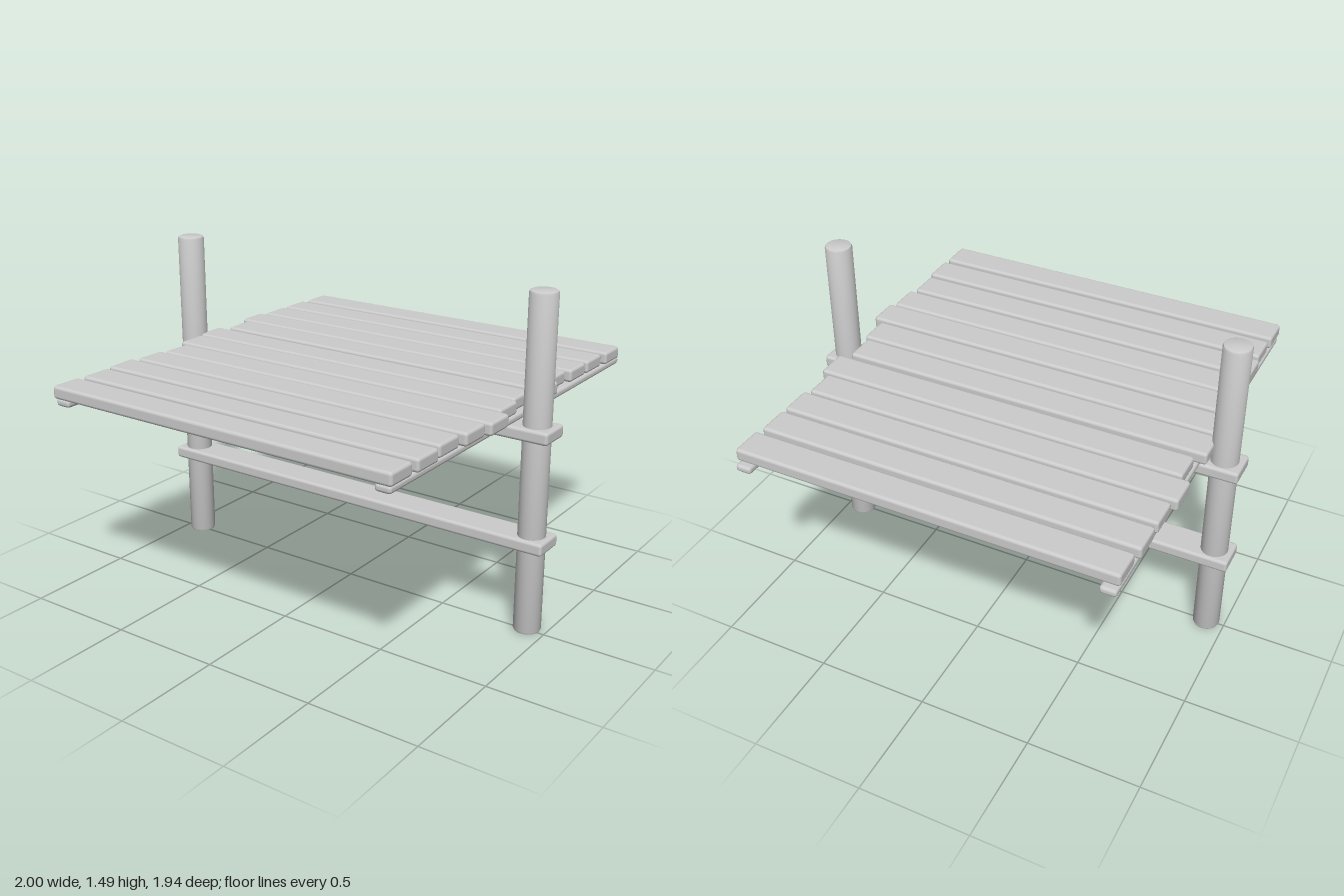
import * as THREE from 'three';
import { RoundedBoxGeometry } from 'three/addons/geometries/RoundedBoxGeometry.js';
import { toCreasedNormals } from 'three/addons/utils/BufferGeometryUtils.js';

const AXIS_Z = -0.005; // depth of the post and beam plane

export function createModel() {
  const model = new THREE.Group();
  const material = new THREE.MeshStandardMaterial({ color: 0xcccccc });

  const add = (name, geometry, x, y, z) => {
    const mesh = new THREE.Mesh(geometry, material);
    mesh.name = name;
    mesh.position.set(x, y, z);
    model.add(mesh);
  };

  // Round posts with bevelled ends
  const height = 1.49, radius = 0.06, bevel = 0.012;
  const profile = [
    [0, 0], [radius - bevel, 0], [radius - bevel * 0.3, bevel * 0.3], [radius, bevel],
    [radius, height - bevel], [radius - bevel * 0.3, height - bevel * 0.3],
    [radius - bevel, height], [0, height],
  ].map(([r, y]) => new THREE.Vector2(r, y));
  const post = toCreasedNormals(new THREE.LatheGeometry(profile, 32), 0.6);

  // Slim rails carrying the planks
  const rail = new RoundedBoxGeometry(0.072, 0.034, 1.925, 2, 0.014);

  for (const [side, s] of [['left', 1], ['right', -1]]) {
    add(side + 'Post', post, s * 0.917, 0, AXIS_Z);
    add(side + 'Rail', rail, s * 0.804, 0.951, -0.006);
  }

  // Cross beams joining the posts
  const beam = new RoundedBoxGeometry(2, 0.056, 0.152, 2, 0.014);
  add('lowerBeam', beam, 0, 0.415, AXIS_Z);
  add('upperBeam', beam, 0, 0.901, AXIS_Z);

  // Deck planks, unevenly laid: [x, z] centres from back to front
  const plank = new RoundedBoxGeometry(1.694, 0.058, 0.143, 2, 0.014);
  const planks = [
    [0.004, -0.872], [-0.008, -0.703], [-0.01, -0.542], [-0.03, -0.386],
    [0.012, -0.231], [-0.03, -0.061], [-0.008, 0.094], [0.04, 0.253],
    [0.018, 0.404], [-0.002, 0.565], [0.01, 0.73], [0.004, 0.897],
  ];
  planks.forEach(([x, z], i) => add('plank' + (i + 1), plank, x, 0.997, z));

  return model;
}
